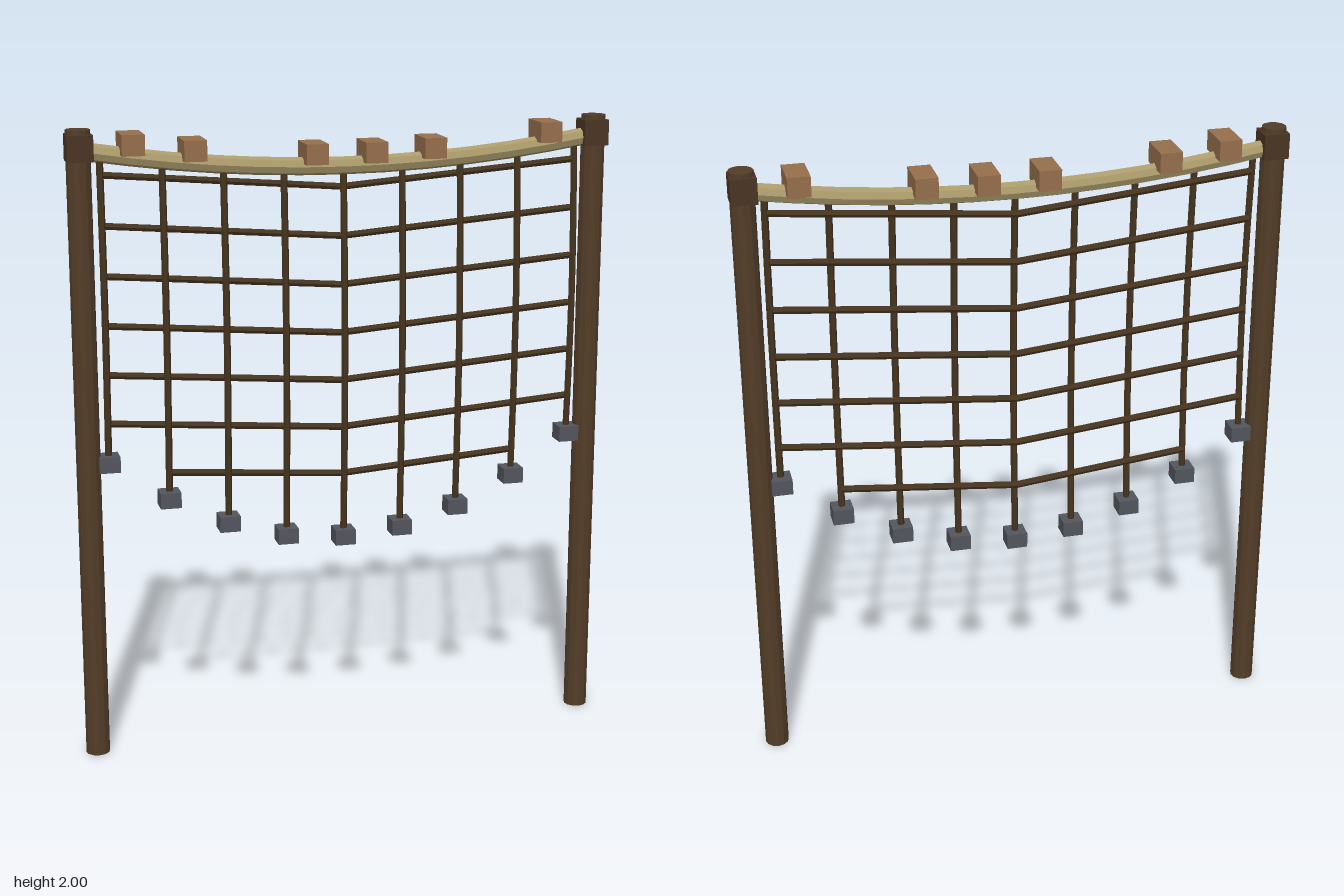
import * as THREE from 'three';

const mat = (name, color) => Object.assign(new THREE.MeshStandardMaterial({ color, flatShading: true }), { name });

export function createModel() {
  const root = new THREE.Group();
  root.name = 'hangingNet';
  const postWood = mat('post wood', 0x533d29);
  const capWood = mat('cap wood', 0x4a3524);
  const netRope = mat('net rope', 0x46341f);
  const beamRope = mat('beam rope', 0xaa9a6b);
  const wrapWood = mat('wrap brown', 0x966f4c);
  const stone = mat('weight grey', 0x53555e);

  const add = (name, geo, material, x = 0, y = 0, z = 0) => {
    const m = new THREE.Mesh(geo, material);
    m.name = name;
    m.position.set(x, y, z);
    root.add(m);
    return m;
  };
  const V = (x, y, z) => new THREE.Vector3(x, y, z);

  // closed straight rod between two points
  const rod = (name, a, b, r, material) => {
    const d = b.clone().sub(a);
    const m = add(name, new THREE.CylinderGeometry(r, r, d.length(), 6), material);
    m.position.copy(a).add(b).multiplyScalar(0.5);
    m.quaternion.setFromUnitVectors(V(0, 1, 0), d.normalize());
  };

  // height of the sagging top rope
  const ropeY = x => 1.865 + 0.065 * (x / 0.78) ** 2;

  // posts with square collars
  for (const s of [-1, 1]) {
    add('post', new THREE.CylinderGeometry(0.038, 0.038, 2, 12), postWood, s * 0.818, 1, 0);
    add('postCollar', new THREE.BoxGeometry(0.08, 0.08, 0.08), capWood, s * 0.816, 1.945, 0);
  }

  // top rope
  const pts = [];
  for (let i = 0; i <= 8; i++) {
    const x = -0.8 + i * 0.2;
    pts.push(V(x, ropeY(x), 0));
  }
  add('topRope', new THREE.TubeGeometry(new THREE.CatmullRomCurve3(pts), 12, 0.028, 8), beamRope);

  // blocks resting on the top rope
  for (const x of [-0.66, -0.472, -0.095, 0.093, 0.281, 0.658]) {
    add('ropeBlock', new THREE.BoxGeometry(0.07, 0.064, 0.12), wrapWood, x, ropeY(x) + 0.042, 0);
  }

  // hanging ropes, bowed slightly forward, each with a weight
  for (let i = -4; i <= 4; i++) {
    const x = i * 0.1887;
    const top = ropeY(x), bottom = 0.667 + 0.296 * (i / 4) ** 2;
    const path = new THREE.CatmullRomCurve3(
      [0, 0.25, 0.5, 0.75, 1].map(t => V(x, top + (bottom - top) * t, 0.02 * Math.sin(Math.PI * t))));
    add('hangingRope', new THREE.TubeGeometry(path, 8, 0.011, 6), netRope);
    add('weight', new THREE.BoxGeometry(0.066, 0.05, 0.066), stone, x, bottom, 0);
  }

  // cross ropes, dipping and set back at the middle
  for (let i = 0; i < 7; i++) {
    const y = 1.797 - i * 0.1545;
    const half = i < 6 ? 0.75 : 0.566;
    for (const s of [-1, 1]) {
      rod('crossRope', V(0, y, -0.02), V(s * half, y + 0.085 * half, 0), 0.011, netRope);
    }
  }
  return root;
}
